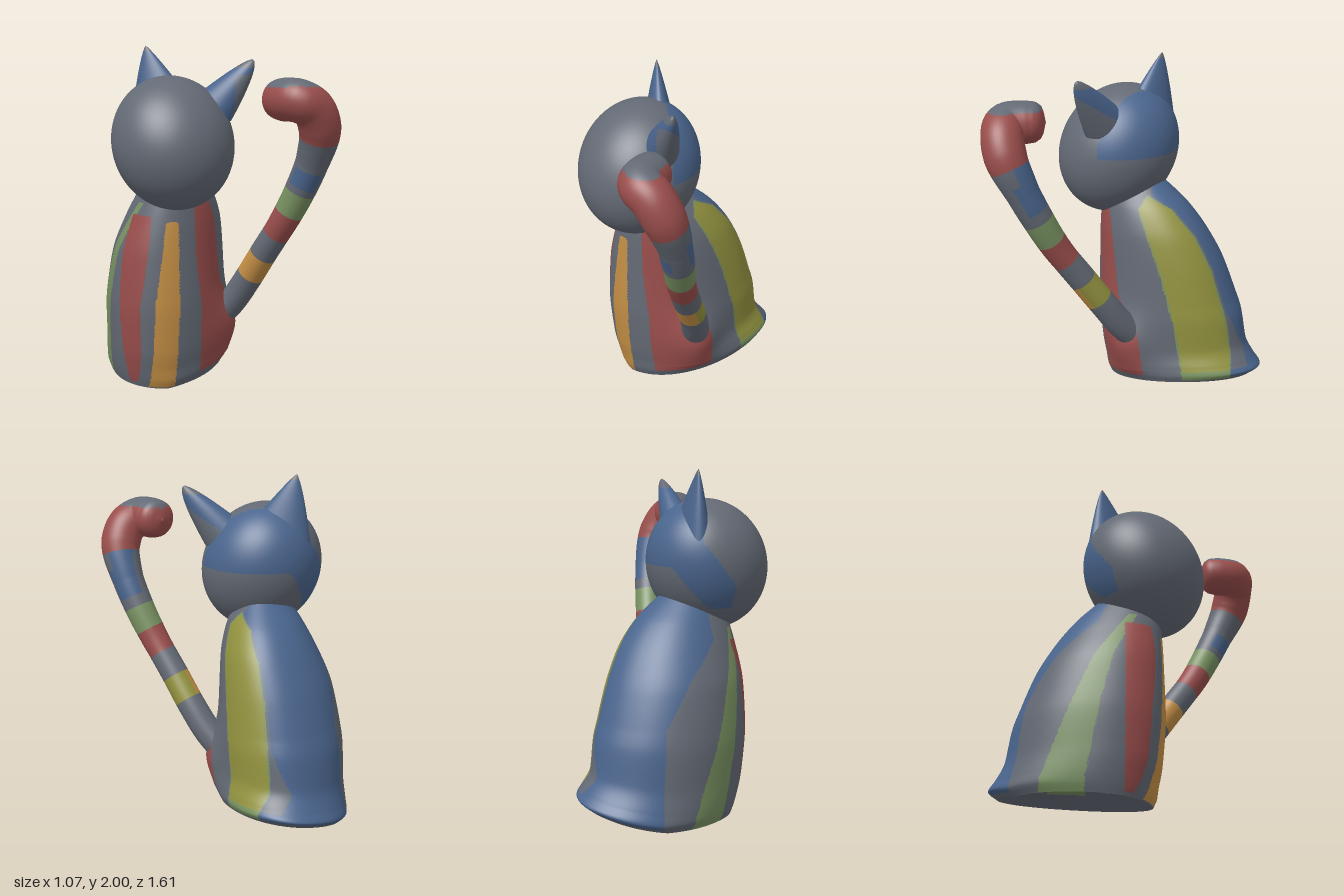
import * as THREE from 'three';

const V = (x, y, z) => new THREE.Vector3(x, y, z);
const paintOf = (name, color) => Object.assign(new THREE.MeshStandardMaterial({ color }), { name });
const MATERIALS = [
  paintOf('slate grey', 0x646a75), paintOf('brick red', 0x994e4c), paintOf('ochre orange', 0xc48f45),
  paintOf('olive yellow', 0x91913f), paintOf('moss green', 0x789161), paintOf('dusk blue', 0x4a658d),
];
const [GREY, RED, ORANGE, YELLOW, GREEN, BLUE] = [0, 1, 2, 3, 4, 5];

// Piecewise-linear lookup through [key, value] pairs
function table(pairs, k) {
  if (k <= pairs[0][0]) return pairs[0][1];
  for (let i = 1; i < pairs.length; i++) {
    const [k0, v0] = pairs[i - 1], [k1, v1] = pairs[i];
    if (k <= k1) return v0 + (v1 - v0) * (k - k0) / (k1 - k0);
  }
  return pairs[pairs.length - 1][1];
}

// Closed rings stacked along v; every facet is painted by a rule
function ringSurface(name, nu, nv, at, paint) {
  const pos = [], pts = [], faces = MATERIALS.map(() => []);
  for (let j = 0; j <= nv; j++) {
    for (let i = 0; i < nu; i++) {
      const p = at(i / nu * Math.PI * 2, j / nv);
      pts.push(p);
      pos.push(p.x, p.y, p.z);
    }
  }
  for (let j = 0; j < nv; j++) {
    for (let i = 0; i < nu; i++) {
      const a = j * nu + i, b = j * nu + (i + 1) % nu, c = a + nu, d = b + nu;
      for (const f of [[a, c, b], [b, c, d]]) {
        const mid = V(0, 0, 0);
        f.forEach(k => mid.addScaledVector(pts[k], 1 / 3));
        faces[paint(mid, (j + 0.5) / nv)].push(...f);
      }
    }
  }
  const geo = new THREE.BufferGeometry();
  geo.setAttribute('position', new THREE.Float32BufferAttribute(pos, 3));
  geo.setIndex(faces.flat());
  let start = 0;
  faces.forEach((f, m) => {
    if (f.length) geo.addGroup(start, f.length, m);
    start += f.length;
  });
  geo.computeVertexNormals();
  const mesh = new THREE.Mesh(geo, MATERIALS);
  mesh.name = name;
  return mesh;
}

// Body sections: height, x range, z range
const SECTIONS = [
  [0.0, -0.415, 0.33, -0.75, 0.105], [0.05, -0.43, 0.35, -0.80, 0.125], [0.12, -0.445, 0.335, -0.765, 0.135],
  [0.24, -0.46, 0.305, -0.715, 0.155], [0.5, -0.475, 0.30, -0.675, 0.175], [0.8, -0.45, 0.265, -0.57, 0.17],
  [1.0, -0.39, 0.22, -0.46, 0.165], [1.15, -0.33, 0.145, -0.345, 0.15], [1.3, -0.26, 0.02, -0.18, 0.1],
];
const xCurve = new THREE.CatmullRomCurve3(SECTIONS.map(s => V(s[1], s[0], s[2])), false, 'catmullrom', 0.4);
const zCurve = new THREE.CatmullRomCurve3(SECTIONS.map(s => V(s[3], s[0], s[4])), false, 'catmullrom', 0.4);

// The base is tilted up toward +x and the back; the tilt fades out with height
const tilt = (x, z) => 0.21 * Math.max(0, x + 0.24) + 0.055 * (0.1 - z);
const squared = t => Math.sign(t) * Math.abs(t) ** 0.92;
const TAIL_ROOT = V(0.16, 0.33, 0.03);
function bodyPoint(a, v) {
  const xr = xCurve.getPoint(v), zr = zCurve.getPoint(v);
  const rx = (xr.z - xr.x) / 2 * 0.97, rz = (zr.z - zr.x) / 2;
  const c = squared(Math.cos(a)), s = squared(Math.sin(a));
  const x = (xr.x + xr.z) / 2 + rx * c - 0.2 * rz * s;
  const z = (zr.x + zr.z) / 2 + rz * s;
  const p = V(x, xr.y + tilt(x, z) * Math.max(0, 1 - xr.y / 0.6), z);
  // swelling where the tail joins
  const swell = Math.exp(-p.distanceToSquared(TAIL_ROOT) / 0.03) * Math.min(1, v * 5);
  return p.addScaledVector(V(0.085, 0, 0.03), swell);
}

function bodyPaint(p, v) {
  const { x, y, z } = p;
  // front stripes
  if (z > -0.12) {
    const top = 1.0 - 6 * (x + 0.235) ** 2;
    if (z > 0 && v > 0.02 && y < top && x < -0.2 &&
      x > table([[0.1, -0.335], [0.5, -0.34], [1, -0.27]], y)) return ORANGE;
    if (v > 0.12 && y > 0.09 && x > table([[0.15, -0.04], [0.5, -0.05], [0.8, -0.09], [1.1, -0.1]], y) &&
      z > table([[0.15, -0.08], [0.45, -0.04], [0.6, 0.06], [1.1, 0.11]], y)) return RED;
    if (v > 0.06 && y < 1.03 && z > -0.07 &&
      x < table([[0.1, -0.385], [0.5, -0.41], [1, -0.34]], y)) return RED;
  }
  // flank panels
  if (x > 0) {
    const front = table([[0.15, -0.31], [0.5, -0.25], [0.8, -0.17], [1, -0.1], [1.15, -0.05], [1.22, -0.1]], y);
    const back = table([[0.15, -0.59], [0.3, -0.6], [0.5, -0.57], [0.8, -0.48], [1, -0.38], [1.15, -0.25], [1.22, -0.12]], y);
    const inset = Math.min(front - z, z - back, 1.22 - y);
    if (inset > 0 && v > 0.04) return v < 0.19 || inset < 0.01 ? GREEN : YELLOW;
    if (v < 0.08) return GREY;
    const wedge = table([[0.2, 0.11], [0.55, 0.012]], y);
    return z < back - wedge || (v < 0.2 && z < back) ? BLUE : GREY;
  }
  const green = table([[0.1, -0.4], [0.5, -0.29], [0.8, -0.19], [1.1, -0.02]], y);
  const half = table([[0.1, 0.12], [0.5, 0.08], [1.1, 0.025]], y);
  if (x < -0.2 && y < 1.1 && Math.abs(z - green) < half) return GREEN;
  if (v < 0.06) return GREY;
  return z - x < table([[0.1, -0.44], [0.6, -0.38], [0.85, -0.15], [1.05, 0.12]], y) && z < -0.1 ? BLUE : GREY;
}

// Head with a painted cap behind the line of the ears
const HEAD = V(-0.183, 1.445, 0.055);
function headPoint(a, v) {
  const e = (v - 0.5) * Math.PI, c = Math.cos(e), s = Math.sin(e);
  return V(HEAD.x + 0.354 * c * Math.cos(a), HEAD.y + 0.383 * s, HEAD.z + 0.354 * c * Math.sin(a) - 0.05 * s);
}
function headPaint(p) {
  const behind = 0.75 * (p.x - HEAD.x) - 0.66 * (p.z - HEAD.z);
  const edge = p.x < -0.1 ? table([[1.35, -0.06], [1.6, 0.13]], p.y) : 0.16;
  return behind > edge && p.y > table([[-0.3, 1.22], [-0.12, 1.46]], p.x) ? BLUE : GREY;
}

// Ear: a flattened, leaning cone across the head
function ear(name, base, tip, width, depth, taper, paint) {
  const across = V(0.66, 0, 0.75), facing = V(-0.75, 0, 0.66);
  return ringSurface(name, 40, 36, (a, v) => {
    const r = Math.max(0.002, (1 - v) ** taper);
    return base.clone().lerp(tip, v)
      .addScaledVector(across, width * r * Math.cos(a))
      .addScaledVector(facing, depth * r * Math.sin(a));
  }, paint);
}

// Tail: rises forward from the flank and hooks over at the end
const TAIL = new THREE.CatmullRomCurve3([
  V(0.14, 0.34, -0.06), V(0.215, 0.48, 0.055), V(0.26, 0.62, 0.15), V(0.3, 0.8, 0.275), V(0.35, 1.0, 0.41),
  V(0.395, 1.18, 0.505), V(0.425, 1.38, 0.6), V(0.415, 1.54, 0.67), V(0.355, 1.65, 0.69),
  V(0.275, 1.695, 0.675), V(0.25, 1.7, 0.575), V(0.25, 1.7, 0.46),
]);
function tail() {
  const n = 140, frames = TAIL.computeFrenetFrames(n);
  const radii = [[0, 0.085], [0.15, 0.082], [0.4, 0.08], [0.65, 0.094], [0.77, 0.118], [0.94, 0.12],
    [0.97, 0.112], [0.99, 0.085], [1, 0.002]];
  const bands = [[0.42, RED], [0.66, GREY], [0.79, ORANGE], [0.92, GREY], [1.06, RED], [1.19, GREEN], [1.49, BLUE], [9, RED]];
  return ringSurface('tail', 40, n, (a, v) => {
    const r = table(radii, v), k = Math.round(v * n);
    return TAIL.getPointAt(v)
      .addScaledVector(frames.normals[k], r * Math.cos(a))
      .addScaledVector(frames.binormals[k], -r * Math.sin(a));
  }, (p, v) => {
    const c = TAIL.getPointAt(v);
    const band = bands.find(b => c.y < b[0])[1];
    const rear = (p.x - c.x) - (p.z - c.z);
    if (band === ORANGE && rear > 0.04) return YELLOW;
    if (band === BLUE) {
      const frontPatch = c.y > 1.22 && c.y < 1.32 && p.z > c.z && p.x < c.x + 0.02;
      const rearPatch = c.y > 1.24 && rear > 0.08 && (c.y < 1.4 || p.z < c.z - 0.03);
      return frontPatch || rearPatch ? BLUE : GREY;
    }
    if (band === RED && p.y > 1.77) return GREY;
    return band;
  });
}

export function createModel() {
  const model = new THREE.Group();
  model.name = 'catFigure';
  model.add(ringSurface('body', 240, 140, bodyPoint, bodyPaint));
  // Flat underside, with the side stripe running over its edge
  model.add(ringSurface('base', 120, 16, (a, v) => bodyPoint(a, 0).lerp(V(-0.05, 0.07, -0.32), 1 - v),
    p => (p.x < -0.29 && Math.abs(p.z + 0.37) < 0.1 ? GREEN : GREY)));
  model.add(ringSurface('head', 140, 90, headPoint, headPaint));
  model.add(ear('rightEar', V(-0.145, 1.6, -0.1), V(-0.235, 2.0, -0.2), 0.22, 0.1, 0.85,
    p => (p.y > 1.965 ? GREY : BLUE)));
  model.add(ear('leftEar', V(-0.035, 1.57, 0.08), V(0.205, 1.92, 0.285), 0.2, 0.12, 0.62,
    p => (p.y > 1.87 || (p.x > 0.1 && p.y < 1.68 + 0.7 * (p.z - 0.08)) ? GREY : BLUE)));
  model.add(tail());
  return model;
}
